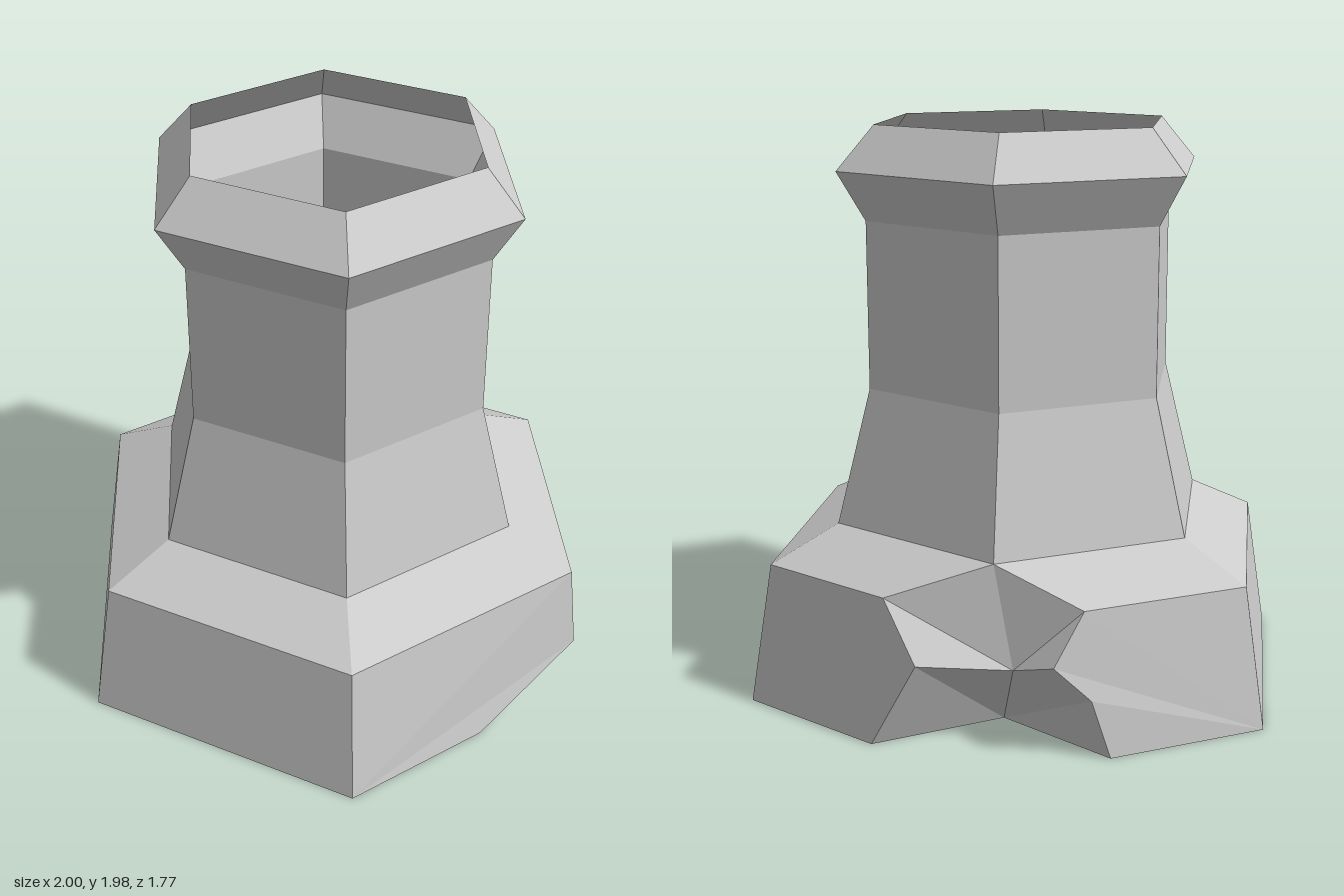
import * as THREE from 'three';

const CX = 0.025; // axis of the hexagon; the broken right corner shifts the bounds

// Corner of a hexagon: 0 right, 1 front right, 2 front left, 3 left, 4 back left, 5 back right
function corner(r, y, i) {
  const a = (i * Math.PI) / 3;
  return [CX + r * Math.cos(a), y, r * Math.sin(a)];
}

// Flat-faced mesh from polygons, each split as a fan from its first corner
function facetMesh(name, polygons, material) {
  const pos = [];
  for (const p of polygons)
    for (let i = 1; i < p.length - 1; i++) pos.push(...p[0], ...p[i], ...p[i + 1]);
  const g = new THREE.BufferGeometry();
  g.setAttribute('position', new THREE.Float32BufferAttribute(pos, 3));
  g.computeVertexNormals();
  const m = new THREE.Mesh(g, material);
  m.name = name;
  return m;
}

// Open six-sided band following a radius/height profile
function hexShell(name, profile, material) {
  const pts = profile.map(([r, y]) => new THREE.Vector2(r, y));
  const g = new THREE.LatheGeometry(pts, 6, Math.PI / 6).toNonIndexed();
  g.computeVertexNormals();
  const m = new THREE.Mesh(g, material);
  m.position.x = CX;
  m.name = name;
  return m;
}

export function createModel() {
  const model = new THREE.Group();
  model.name = 'chimney';
  const stone = new THREE.MeshStandardMaterial({ color: 0xcccccc, flatShading: true, side: THREE.DoubleSide });
  stone.name = 'stone grey';

  // Hollow shaft and flared rim, open at the top
  model.add(hexShell('shaft', [[0.695, 0.61], [0.57, 1.08], [0.57, 1.66]], stone));
  model.add(hexShell('rim', [[0.57, 1.66], [0.67, 1.83], [0.535, 1.98]], stone));

  // Rings of the base: foot, shoulder, shaft seam
  const ring = (r, y) => [0, 1, 2, 3, 4, 5].map((i) => corner(r, y, i));
  const foot = ring(1.023, 0), shoulder = ring(0.94, 0.49), seam = ring(0.695, 0.61);

  // Corners of the small chip on the right
  const chipFront = [0.81, 0, 0.41], chipTop = [1.0, 0.18, 0], chipSide = [0.815, 0.19, -0.35];
  const chipInner = [0.575, 0, 0], chipBack = [0.81, 0, -0.41];

  // Corners of the large break at the back left
  const topR = [-0.03, 0.49, -0.815], topL = [-0.62, 0.49, -0.51];
  const midR = [-0.19, 0.3, -0.843], midL = [-0.58, 0.32, -0.62], lowL = [-0.665, 0.2, -0.53];
  const footR = [-0.03, 0, -0.886], footL = [-0.715, 0, -0.49];
  const deep = [-0.4, 0.26, -0.6], footDeep = [-0.25, 0, -0.46];

  const base = new THREE.Group();
  base.name = 'base';
  model.add(base);

  // Outer walls, cut back around the breaks
  const walls = [
    [foot[1], chipFront, chipTop, shoulder[0], shoulder[1]],
    [foot[2], foot[1], shoulder[1], shoulder[2]],
    [foot[3], foot[2], shoulder[2], shoulder[3]],
    [shoulder[3], topL, midL, lowL, footL, foot[3]],
    [shoulder[5], foot[5], footR, midR, topR],
    [shoulder[5], shoulder[0], chipTop, chipSide, chipBack, foot[5]],
  ];
  base.add(facetMesh('baseWalls', walls.map((p, i) => (i === 3 || i === 4 || i === 5 ? [...p].reverse() : p)), stone));

  // Sloping shoulder up to the shaft
  const slopes = [0, 1, 2, 5].map((i) => {
    const j = (i + 1) % 6;
    return [shoulder[j], shoulder[i], seam[i], seam[j]];
  });
  slopes.push([topL, shoulder[3], seam[3], seam[4]], [shoulder[5], topR, seam[4], seam[5]]);
  base.add(facetMesh('shoulder', slopes, stone));

  // Broken surfaces
  base.add(facetMesh('rightChip', [
    [chipFront, chipInner, chipSide, chipTop],
    [chipInner, chipBack, chipSide],
  ], stone));
  base.add(facetMesh('backLeftBreak', [
    [seam[4], topR, deep, topL],
    [topR, midR, deep],
    [topL, deep, midL],
    [footDeep, deep, midR, footR],
    [footDeep, footL, lowL, midL, deep],
  ], stone));

  // Underside
  base.add(facetMesh('underside', [[
    chipInner, chipFront, foot[1], foot[2], foot[3], footL, footDeep, footR, foot[5], chipBack,
  ]], stone));

  return model;
}
